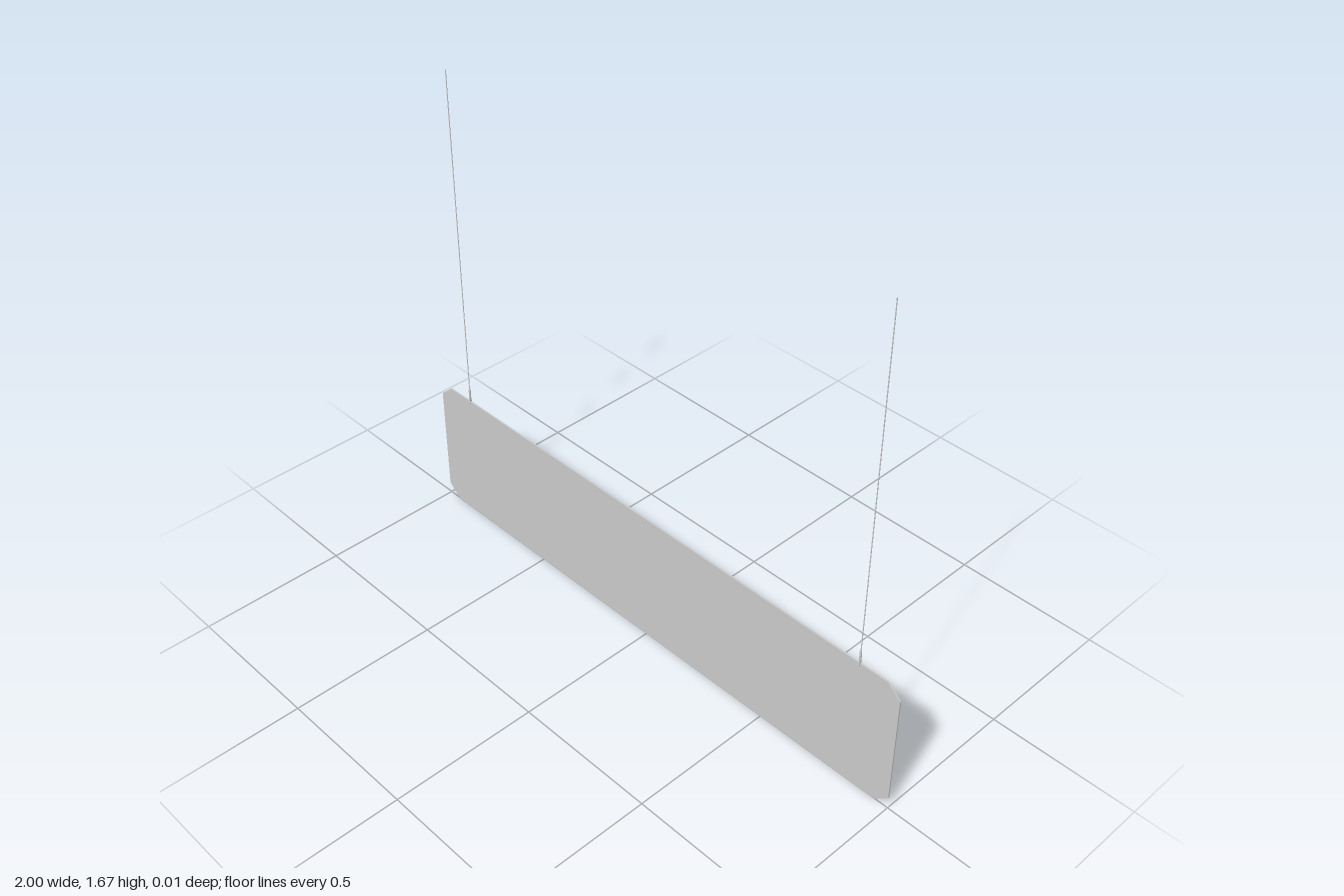
import * as THREE from 'three';

const material = new THREE.MeshStandardMaterial({ color: 0xcccccc });

function addMesh(parent, name, geometry, x = 0, y = 0, z = 0) {
  const mesh = new THREE.Mesh(geometry, material);
  mesh.name = name;
  mesh.position.set(x, y, z);
  parent.add(mesh);
  return mesh;
}

// Thin board with clipped corners
function panelGeometry(halfWidth, height, cutX, cutY, depth) {
  const shape = new THREE.Shape([
    [-halfWidth + cutX, 0], [halfWidth - cutX, 0],
    [halfWidth, cutY], [halfWidth, height - cutY],
    [halfWidth - cutX, height], [-halfWidth + cutX, height],
    [-halfWidth, height - cutY], [-halfWidth, cutY],
  ].map(([x, y]) => new THREE.Vector2(x, y)));
  return new THREE.ExtrudeGeometry(shape, { depth, bevelEnabled: false }).translate(0, 0, -depth / 2);
}

// Wire with a tapered gripper that straddles the panel's top edge
function createHanger(name, x) {
  const hanger = new THREE.Group();
  hanger.name = name;
  hanger.position.x = x;

  const wireBottom = 0.5, wireTop = 1.67;
  addMesh(hanger, 'wire',
    new THREE.CylinderGeometry(0.0015, 0.0015, wireTop - wireBottom, 8), 0, (wireTop + wireBottom) / 2);

  addMesh(hanger, 'gripper', new THREE.LatheGeometry([
    [0, 0.478], [0.0035, 0.478], [0.0035, 0.515], [0.002, 0.53], [0, 0.53],
  ].map(([r, y]) => new THREE.Vector2(r, y)), 12));

  // Wedge-shaped clip jaws on both faces
  const jaws = new THREE.Shape([
    [-0.006, 0.465], [0.006, 0.465], [0.003, 0.485], [-0.003, 0.485],
  ].map(([z, y]) => new THREE.Vector2(z, y)));
  const clip = new THREE.ExtrudeGeometry(jaws, { depth: 0.005, bevelEnabled: false });
  addMesh(hanger, 'clip', clip.translate(0, 0, -0.0025).rotateY(Math.PI / 2));
  return hanger;
}

export function createModel() {
  const model = new THREE.Group();
  model.name = 'hangingPanel';
  addMesh(model, 'panel', panelGeometry(1, 0.475, 0.05, 0.043, 0.005));
  model.add(createHanger('leftHanger', 0.85), createHanger('rightHanger', -0.85));
  return model;
}
